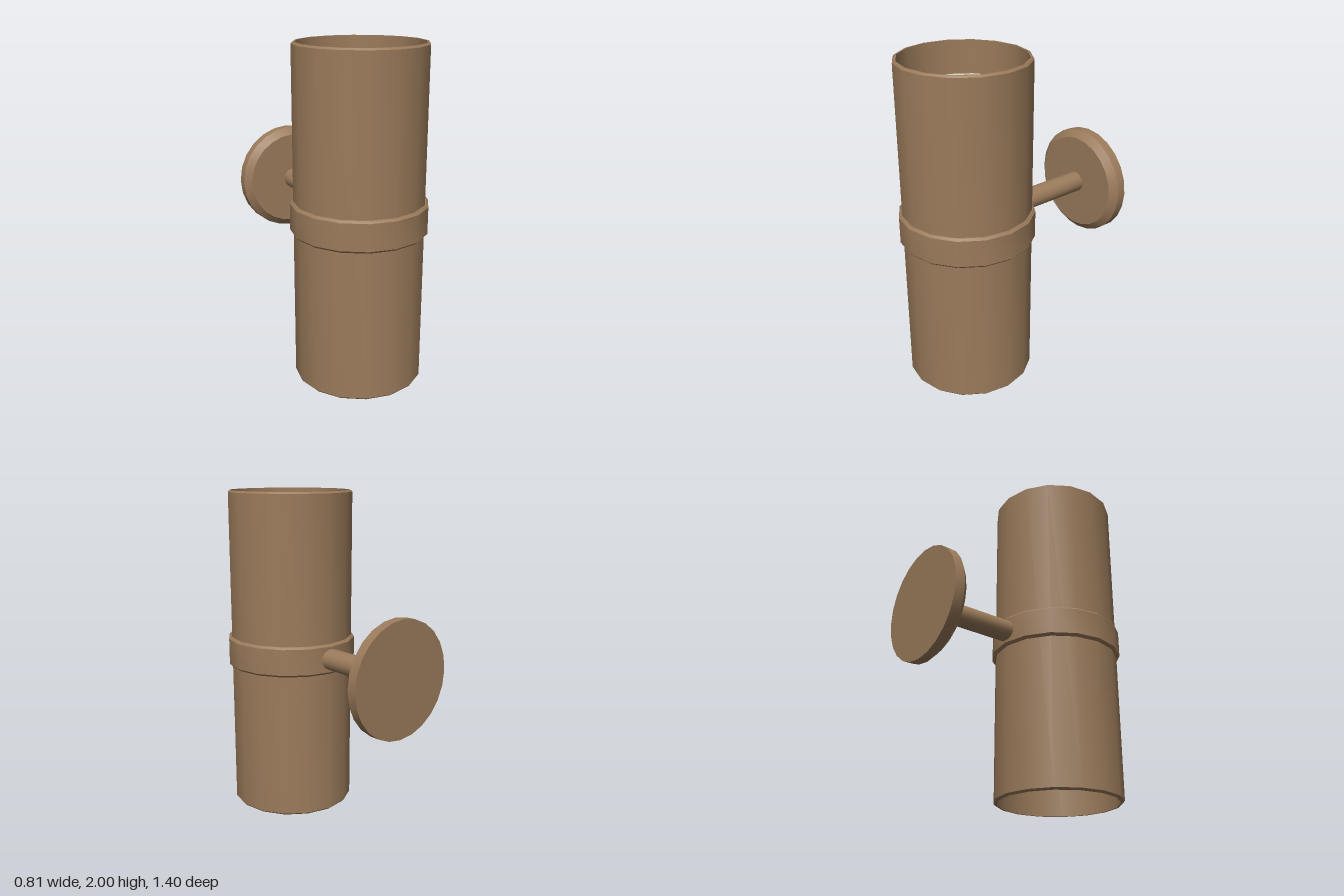
import * as THREE from 'three';
import { toCreasedNormals } from 'three/addons/utils/BufferGeometryUtils.js';

const bronze = new THREE.MeshStandardMaterial({ color: 0x9b7b5b });
const glass = new THREE.MeshStandardMaterial({ color: 0xd8d2c0 });

// Turned part from [radius, height] pairs: smooth around, sharp at the profile's corners
function turned(name, profile, sides, material = bronze) {
  const points = profile.map(([r, y]) => new THREE.Vector2(r, y));
  const geometry = toCreasedNormals(new THREE.LatheGeometry(points, sides), 0.6);
  const mesh = new THREE.Mesh(geometry, material);
  mesh.name = name;
  return mesh;
}

export function createModel() {
  const model = new THREE.Group();
  model.name = 'wallLamp';

  // Upright lamp body
  const lamp = new THREE.Group();
  lamp.name = 'lamp';
  lamp.position.z = 0.295;
  model.add(lamp);

  // Hollow tube, open at both ends, with chamfered rims
  lamp.add(turned('tube', [
    [0.365, 0], [0.376, 0], [0.385, 0.01], [0.385, 1.99],
    [0.376, 2], [0.365, 2], [0.365, 0],
  ], 16));

  // Chamfered band around the middle
  lamp.add(turned('band', [
    [0.38, 0.91], [0.392, 0.91], [0.405, 0.923], [0.405, 1.083],
    [0.392, 1.096], [0.38, 1.096],
  ], 16));

  // Recessed lens in each end
  for (const [name, y] of [['lowerLens', 0.2], ['upperLens', 1.78]]) {
    const lens = turned(name, [[0, 0], [0.366, 0], [0.366, 0.02], [0, 0.02]], 16, glass);
    lens.position.y = y;
    lamp.add(lens);
  }

  // Wall mount, turned about the z axis
  const mount = new THREE.Group();
  mount.name = 'wallMount';
  mount.position.y = 1.003;
  mount.rotation.x = Math.PI / 2;
  model.add(mount);

  mount.add(turned('arm', [[0.066, -0.62], [0.066, -0.07]], 16));
  mount.add(turned('wallPlate', [
    [0, -0.705], [0.346, -0.705], [0.346, -0.645], [0.302, -0.606], [0, -0.606],
  ], 24));

  return model;
}
